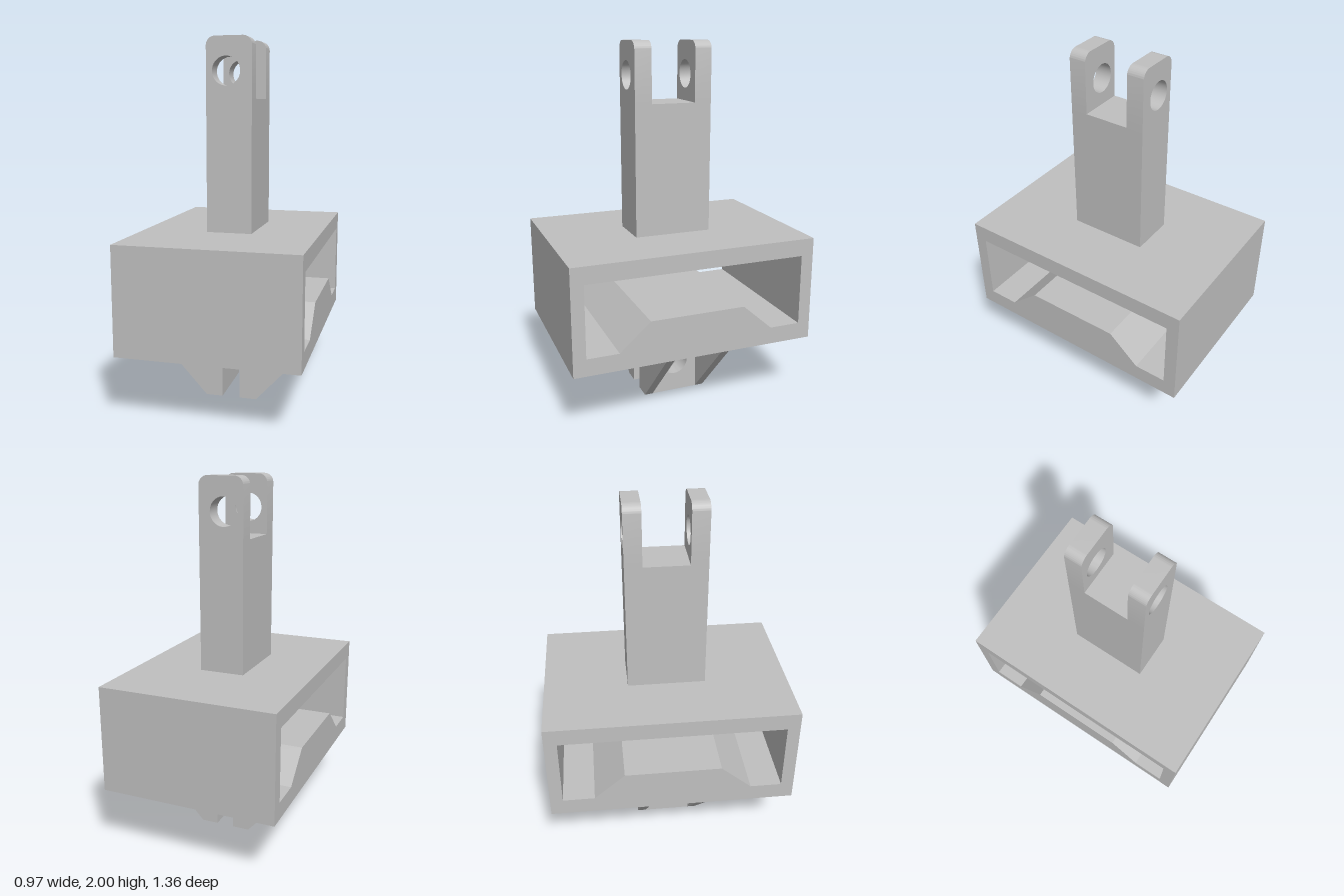
import * as THREE from 'three';
import { toCreasedNormals } from 'three/addons/utils/BufferGeometryUtils.js';

const grey = new THREE.MeshStandardMaterial({ color: 0xc0c0c0 });
grey.name = 'grey';

const polygon = (points) => new THREE.Shape(points.map(([x, y]) => new THREE.Vector2(x, y)));

function circleHole(x, y, r) {
  const hole = new THREE.Path();
  hole.absarc(x, y, r, 0, Math.PI * 2, true);
  return hole;
}

// Extrudes a shape from z = start by depth, with smooth curves and sharp edges
function extrude(shape, start, depth) {
  const geometry = new THREE.ExtrudeGeometry(shape, { depth, bevelEnabled: false, curveSegments: 24 });
  geometry.translate(0, 0, start);
  return toCreasedNormals(geometry, 0.6);
}

function addMesh(parent, name, geometry) {
  const mesh = new THREE.Mesh(geometry, grey);
  mesh.name = name;
  parent.add(mesh);
  return mesh;
}

export function createModel() {
  const model = new THREE.Group();
  model.name = 'clevisBracket';

  // Hollow body, open along x, with a raised ramp on its floor
  const body = polygon([[-0.682, 0.37], [0.682, 0.37], [0.682, 0.955], [-0.682, 0.955]]);
  body.holes.push(polygon([
    [-0.612, 0.465], [-0.612, 0.86], [0.612, 0.86], [0.612, 0.465],
    [0.437, 0.465], [0.267, 0.615], [-0.267, 0.615], [-0.437, 0.465],
  ]));
  addMesh(model, 'hollowBody', extrude(body, -0.485, 0.97).rotateY(Math.PI / 2));

  // Upright post
  const post = new THREE.BoxGeometry(0.25, 0.72, 0.434);
  addMesh(model, 'post', post.translate(0, 1.315, 0));

  // Two fork prongs with rounded tops and a pin hole
  const w = 0.125, r = 0.05;
  const prong = new THREE.Shape();
  prong.moveTo(-w, 1.675);
  prong.lineTo(w, 1.675);
  prong.lineTo(w, 2 - r);
  prong.absarc(w - r, 2 - r, r, 0, Math.PI / 2, false);
  prong.lineTo(-w + r, 2);
  prong.absarc(-w + r, 2 - r, r, Math.PI / 2, Math.PI, false);
  prong.closePath();
  prong.holes.push(circleHole(-0.015, 1.82, 0.077));
  addMesh(model, 'frontProng', extrude(prong, 0.123, 0.094));
  addMesh(model, 'backProng', extrude(prong, -0.217, 0.094));

  // Two lower lugs, each a drilled plate between a pair of sloping ribs
  const plate = polygon([[-0.135, 0], [0.135, 0], [0.135, 0.37], [-0.135, 0.37]]);
  plate.holes.push(circleHole(0, 0.185, 0.08));
  const rib = polygon([[0.05, 0], [0.145, 0], [0.485, 0.37], [0.05, 0.37]]);
  for (const [name, turn] of [['leftLug', 0], ['rightLug', Math.PI]]) {
    const lug = new THREE.Group();
    lug.name = name;
    lug.rotation.y = turn;
    addMesh(lug, 'lugPlate', extrude(plate, 0.05, 0.095).rotateY(Math.PI / 2));
    addMesh(lug, 'frontRib', extrude(rib, 0.135, 0.047));
    addMesh(lug, 'backRib', extrude(rib, -0.182, 0.047));
    model.add(lug);
  }

  return model;
}
